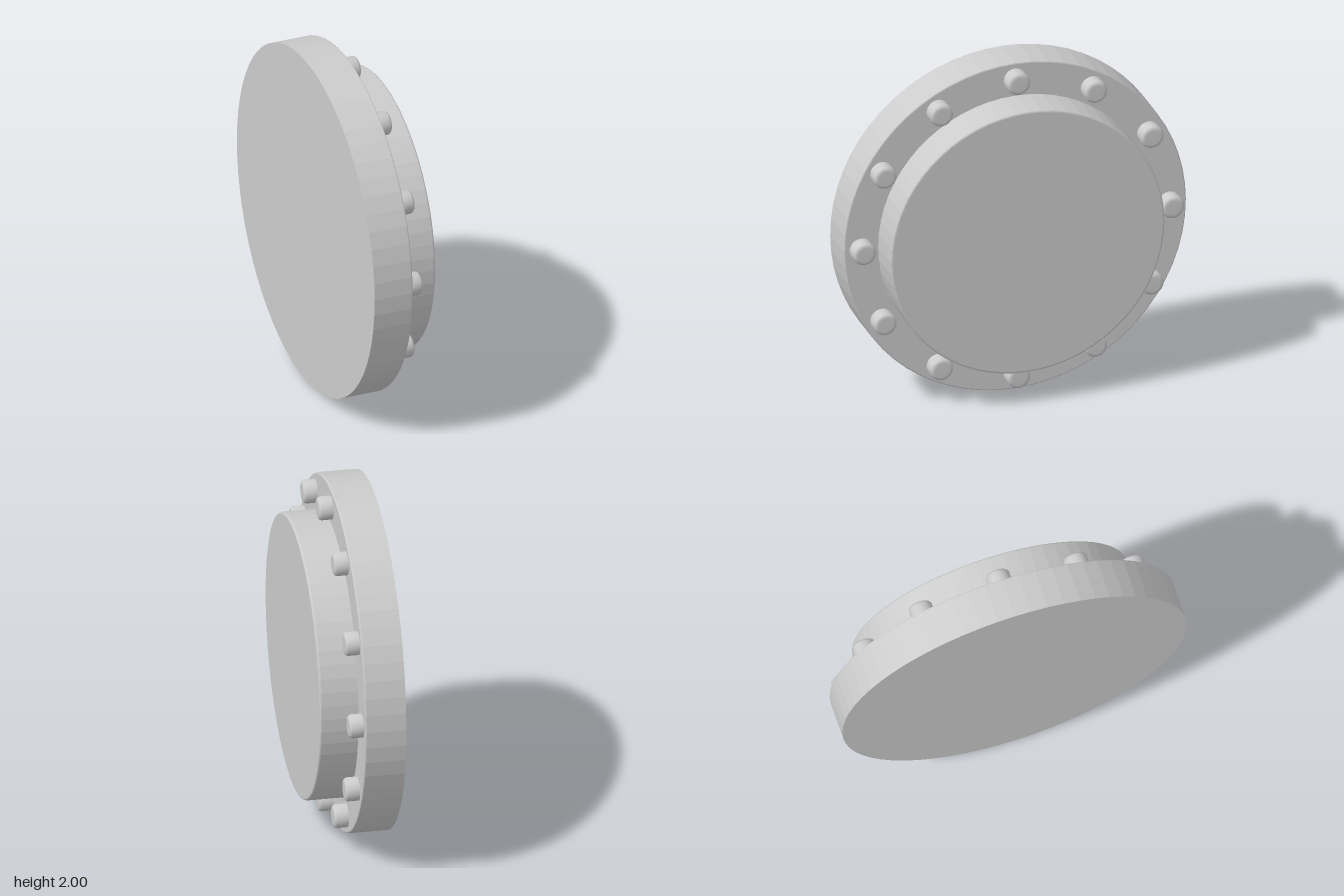
import * as THREE from 'three';
import { toCreasedNormals } from 'three/addons/utils/BufferGeometryUtils.js';

// Solid disc along +x: sharp rear edge, front edge rounded by radius r
function roundedDisc(radius, x0, x1, r, steps, sides) {
  const pts = [new THREE.Vector2(0, x0), new THREE.Vector2(radius, x0)];
  for (let i = 0; i <= steps; i++) {
    const a = (i / steps) * Math.PI / 2;
    pts.push(new THREE.Vector2(radius - r + r * Math.cos(a), x1 - r + r * Math.sin(a)));
  }
  pts.push(new THREE.Vector2((radius - r) * 0.9, x1), new THREE.Vector2(0, x1));
  return new THREE.LatheGeometry(pts, sides).rotateZ(-Math.PI / 2);
}

export function createModel() {
  const group = new THREE.Group();
  const faceted = new THREE.MeshStandardMaterial({ color: 0xcccccc, flatShading: true });
  const smooth = new THREE.MeshStandardMaterial({ color: 0xcccccc });

  const add = (name, geometry, material, y = 1, z = 0) => {
    const mesh = new THREE.Mesh(geometry, material);
    mesh.name = name;
    mesh.position.set(0, y, z);
    group.add(mesh);
  };

  // Wide flange and the raised cover on its face
  add('flange', roundedDisc(1, -0.225, 0.005, 0.008, 2, 64), faceted);
  add('cover', roundedDisc(0.8, 0, 0.222, 0.012, 3, 64), faceted);

  // Ring of twelve rounded bolt heads
  const bolt = toCreasedNormals(roundedDisc(0.067, 0, 0.084, 0.022, 5, 32), 0.6);
  for (let i = 0; i < 12; i++) {
    const a = (i / 12) * Math.PI * 2;
    add('bolt' + (i + 1), bolt, smooth, 1 + 0.9 * Math.cos(a), 0.9 * Math.sin(a));
  }
  return group;
}
